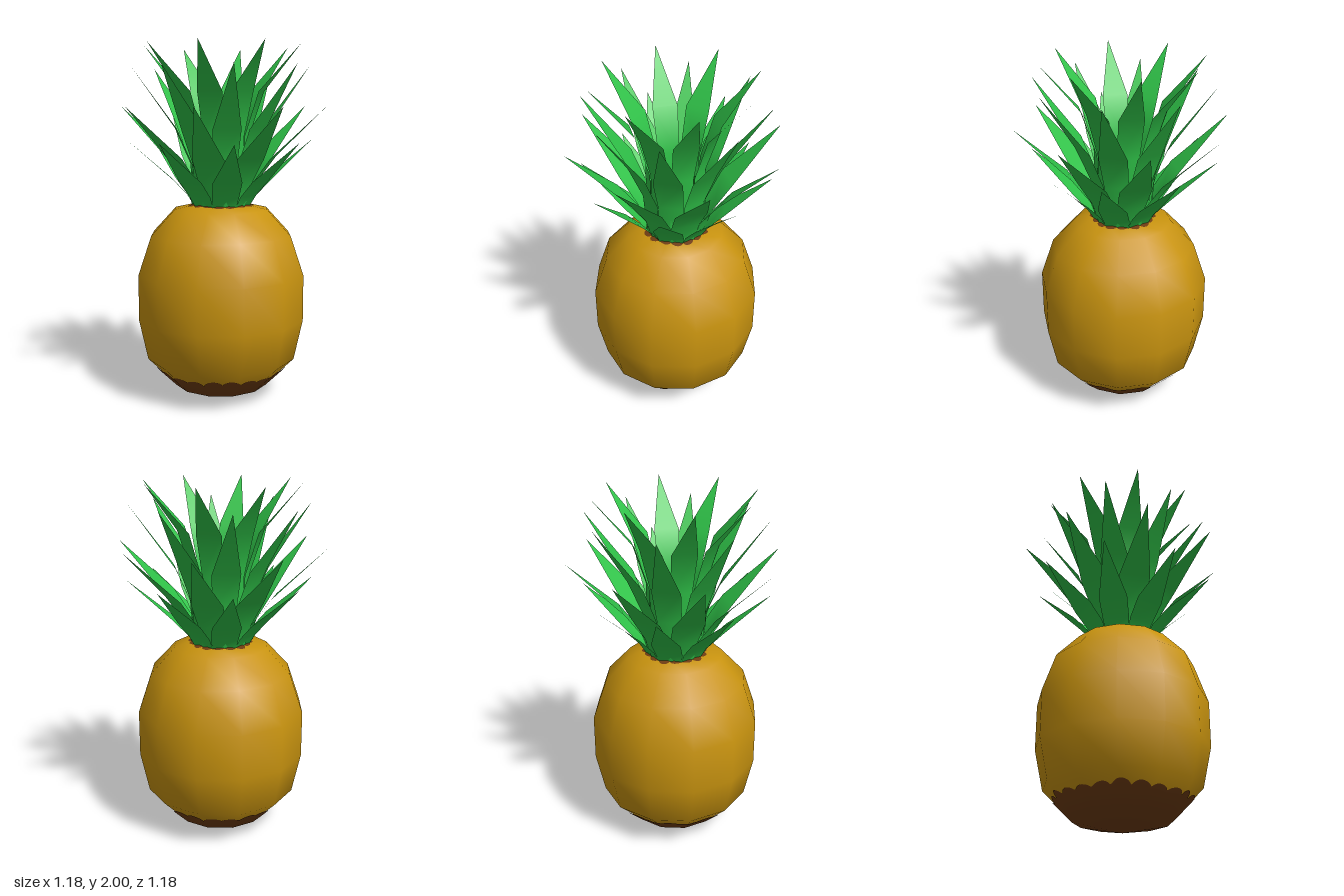
import * as THREE from 'three';

const mat = (name, color, side = THREE.FrontSide) => {
  const m = new THREE.MeshStandardMaterial({ color, side });
  m.name = name;
  return m;
};

// Sheet geometry: rows of [x, y, z, nx, ny, nz] points, listed bottom to top, left to right
function sheet(rows) {
  const pos = [], nor = [], idx = [], n = rows[0].length;
  rows.flat().forEach((p) => { pos.push(p[0], p[1], p[2]); nor.push(p[3], p[4], p[5]); });
  for (let i = 0; i < rows.length - 1; i++) {
    for (let j = 0; j < n - 1; j++) {
      const a = i * n + j, b = a + 1, c = a + n, d = c + 1;
      idx.push(a, b, d, a, d, c);
    }
  }
  const g = new THREE.BufferGeometry();
  g.setAttribute('position', new THREE.Float32BufferAttribute(pos, 3));
  g.setAttribute('normal', new THREE.Float32BufferAttribute(nor, 3));
  g.setIndex(idx);
  return g;
}

// Patch following the twelve-sided body; each ring gives [radius, y, normalOut, normalUp] at an angle
function bodyPatch(rings) {
  const cols = 240, side = Math.PI / 6;
  return sheet(rings.map((ring) => Array.from({ length: cols + 1 }, (_, j) => {
    const a = (j / cols) * Math.PI * 2;
    const [r, y, out, up] = ring(a);
    const k = r * Math.cos(side / 2) / Math.cos((a % side) - side / 2);
    return [k * Math.sin(a), y, k * Math.cos(a), out * Math.sin(a), up, out * Math.cos(a)];
  })));
}

// Scalloped offset between 0 and 1 with uneven lobes
const scallop = (a, lobes) => Math.sqrt(Math.abs(Math.sin(a * lobes / 2))) * (0.8 + 0.2 * Math.sin(a * 5));

// Leaf blade from rows of [distance out, y, half width], ending in a point
function leafGeometry(rows) {
  return sheet(rows.map(([z, y, w], i) => {
    const lo = rows[Math.max(i - 1, 0)], hi = rows[Math.min(i + 1, rows.length - 1)];
    const n = new THREE.Vector3(0, lo[0] - hi[0], hi[1] - lo[1]).normalize();
    const spread = 0.38 * Math.max(0, 1 - i / 2);
    return [-1, 1].map((s) => {
      const v = n.clone().setX(s * spread).normalize();
      return [s * w, y, z, v.x, v.y, v.z];
    });
  }));
}

export function createModel() {
  const model = new THREE.Group();
  model.name = 'pineapple';
  const skin = mat('golden skin', 0xc8930f);
  const brown = mat('brown', 0x6e3c12);
  const green = mat('leaf green', 0x2fc248, THREE.DoubleSide);
  const dark = mat('dark green', 0x10701a, THREE.DoubleSide);
  const add = (parent, name, geometry, material) => {
    const m = new THREE.Mesh(geometry, material);
    m.name = name;
    parent.add(m);
    return m;
  };

  // Fruit body
  const profile = [[0, 0.008], [0.265, 0.066], [0.43, 0.23], [0.48, 0.46], [0.48, 0.72],
    [0.405, 0.94], [0.27, 1.085], [0.15, 1.112], [0, 1.115]].map(([r, y]) => new THREE.Vector2(r, y));
  add(model, 'body', new THREE.LatheGeometry(profile, 12), skin);

  // Brown underside with a scalloped upper edge
  add(model, 'brownBase', bodyPatch([
    () => [0, 0, 0, -1],
    () => [0.269, 0.062, 0.5, -0.87],
    () => [0.35, 0.142, 0.72, -0.69],
    (a) => {
      const y = 0.15 + 0.035 * scallop(a, 22);
      return [0.272 + (y - 0.066), y, 0.78, -0.62];
    },
  ]), brown);

  // Brown collar under the crown
  add(model, 'brownCollar', bodyPatch([
    (a) => {
      const r = 0.165 + 0.03 * scallop(a, 16);
      return [r, 1.114 - (r - 0.15) * 0.225, 0.25, 0.97];
    },
    () => [0.15, 1.117, 0.1, 0.99],
    () => [0.05, 1.119, 0, 1],
  ]), brown);

  // Crown: four rings of eight leaves around a dark cup
  const crown = new THREE.Group();
  crown.name = 'crown';
  model.add(crown);
  const cup = [[0, 1.14], [0.07, 1.15], [0.12, 1.2], [0.142, 1.28], [0.146, 1.38]];
  add(crown, 'crownCup', new THREE.LatheGeometry(cup.map(([r, y]) => new THREE.Vector2(r, y)), 16), dark);

  const rings = [
    { name: 'innerLeaf', turn: 0, rows: [[0.148, 1.11, 0.062], [0.152, 1.5, 0.06], [0.23, 1.74, 0.07], [0.45, 2, 0]] },
    { name: 'upperLeaf', turn: 22.5, rows: [[0.15, 1.11, 0.063], [0.168, 1.34, 0.068], [0.255, 1.54, 0.078], [0.5, 1.88, 0]] },
    { name: 'middleLeaf', turn: 2, rows: [[0.152, 1.11, 0.064], [0.19, 1.23, 0.078], [0.3, 1.38, 0.088], [0.59, 1.66, 0]] },
    { name: 'outerLeaf', turn: 22.5, rows: [[0.154, 1.105, 0.065], [0.19, 1.165, 0.075], [0.275, 1.255, 0.08], [0.52, 1.47, 0]] },
  ];
  for (const { name, turn, rows } of rings) {
    const geometry = leafGeometry(rows);
    for (let i = 0; i < 8; i++) {
      add(crown, name, geometry, green).rotation.y = THREE.MathUtils.degToRad(turn + i * 45);
    }
  }
  return model;
}
